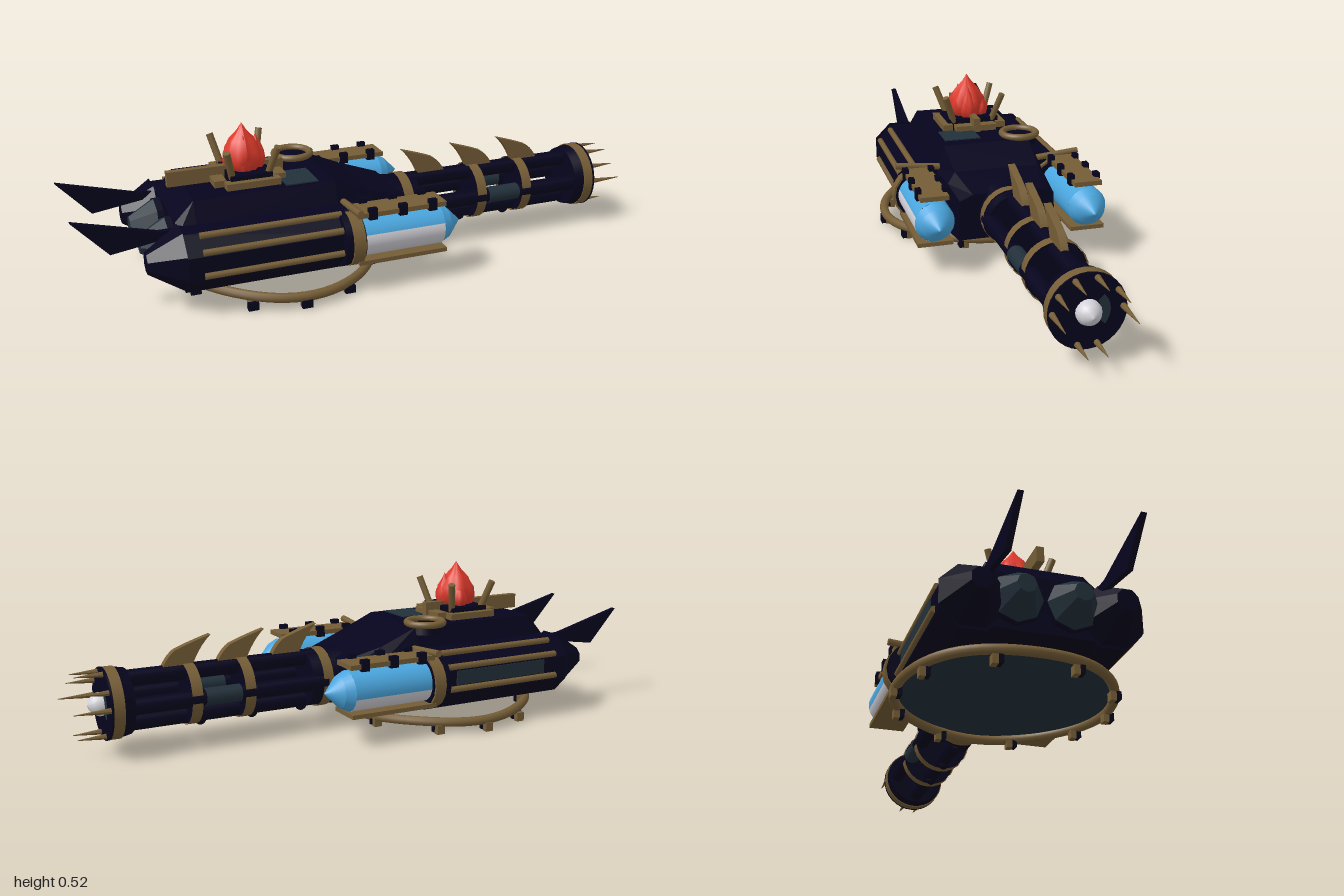
import * as THREE from 'three';

const mat = (name, color, side = THREE.DoubleSide) => Object.assign(new THREE.MeshStandardMaterial({ color, side }), { name });

export function createModel() {
  const model = new THREE.Group();
  model.name = 'gunSkimmer';
  const navy = mat('navy', 0x06041d), slate = mat('slate', 0x22303a, THREE.FrontSide), bronze = mat('bronze', 0x755d36);
  const blue = mat('blue', 0x4aa6de), pale = mat('pale', 0xd2d2d8), red = mat('red', 0xe03a2b);

  const add = (name, geo, m, x = 0, y = 0, z = 0) => {
    const mesh = new THREE.Mesh(geo, m);
    mesh.name = name;
    mesh.position.set(x, y, z);
    model.add(mesh);
    return mesh;
  };
  const box = (name, m, x0, x1, y0, y1, z0, z1) =>
    add(name, new THREE.BoxGeometry(x1 - x0, y1 - y0, z1 - z0), m, (x0 + x1) / 2, (y0 + y1) / 2, (z0 + z1) / 2);
  // cylinder or cone lying along x
  const cylX = (name, m, x0, x1, r0, r1, y, z, n = 24, open = false, start = 0, arc = Math.PI * 2) => {
    let g = new THREE.CylinderGeometry(r1, r0, x1 - x0, n, 1, open, start, arc).rotateZ(-Math.PI / 2);
    if (n <= 8) { g = g.toNonIndexed(); g.computeVertexNormals(); }
    return add(name, g, m, (x0 + x1) / 2, y, z);
  };
  // straight rod between two points
  const rod = (name, m, a, b, r, n = 8) => {
    const A = new THREE.Vector3(...a), B = new THREE.Vector3(...b), d = B.clone().sub(A);
    const mesh = add(name, new THREE.CylinderGeometry(r, r, d.length(), n), m);
    mesh.position.copy(A.add(B).multiplyScalar(0.5));
    mesh.quaternion.setFromUnitVectors(new THREE.Vector3(0, 1, 0), d.normalize());
    return mesh;
  };
  const plate = (name, m, shape, thick, x, y, z) =>
    add(name, new THREE.ExtrudeGeometry(shape, { depth: thick, bevelEnabled: false, curveSegments: 8 }).translate(0, 0, -thick / 2), m, x, y, z);
  // skin through cross-sections along x: [x, bottom, shoulder, top, halfBottom, halfShoulder, halfTop]
  const loft = (name, m, sections) => {
    const pos = [], rings = sections.map(([x, yb, ys, yt, b, s, t]) =>
      [[x, yb, b], [x, ys, s], [x, yt, t], [x, yt, -t], [x, ys, -s], [x, yb, -b]]);
    const tri = (...p) => p.forEach(q => pos.push(...q));
    for (let i = 0; i + 1 < rings.length; i++) for (let j = 0; j < 6; j++) {
      const k = (j + 1) % 6, A = rings[i], B = rings[i + 1];
      tri(A[j], B[j], B[k]);
      tri(A[j], B[k], A[k]);
    }
    const first = rings[0], last = rings[rings.length - 1];
    for (let j = 1; j < 5; j++) {
      tri(first[0], first[j], first[j + 1]);
      tri(last[0], last[j + 1], last[j]);
    }
    const g = new THREE.BufferGeometry();
    g.setAttribute('position', new THREE.Float32BufferAttribute(pos, 3));
    g.computeVertexNormals();
    return add(name, g, m);
  };

  // central hull
  loft('hull', navy, [
    [-0.68, 0.09, 0.24, 0.27, 0.19, 0.19, 0.15], [-0.62, 0.075, 0.25, 0.335, 0.2, 0.19, 0.155],
    [-0.15, 0.07, 0.25, 0.335, 0.2, 0.19, 0.155], [-0.02, 0.07, 0.24, 0.28, 0.18, 0.175, 0.15],
    [0.11, 0.08, 0.22, 0.24, 0.17, 0.165, 0.12]]);
  box('deckPanel', slate, -0.31, -0.2, 0.333, 0.339, 0.01, 0.14);

  for (const s of [1, -1]) {
    // side housings with tapered tails
    cylX('sideHousing', navy, -0.68, -0.13, 0.105, 0.105, 0.17, s * 0.21, 8).rotation.x = Math.PI / 8;
    cylX('housingTail', navy, -0.79, -0.68, 0.035, 0.105, 0.178, s * 0.215, 8).rotation.x = Math.PI / 8;
    cylX('exhaust', slate, -0.785, -0.7, 0.03, 0.08, 0.185, s * 0.085, 8);
    cylX('exhaustCowl', navy, -0.7, -0.64, 0.084, 0.084, 0.185, s * 0.085, 8);
    for (const [y, z] of [[0.222, 0.303], [0.147, 0.31], [0.262, 0.262]])
      rod('sideRail', bronze, [-0.63, y, s * z], [-0.17, y, s * z], 0.011);

    // energy tank
    cylX('tankCollar', bronze, -0.155, -0.115, 0.09, 0.09, 0.175, s * 0.258, 16);
    cylX('collarFace', navy, -0.115, -0.11, 0.083, 0.083, 0.175, s * 0.258, 16);
    cylX('collarBand', navy, -0.178, -0.155, 0.092, 0.092, 0.175, s * 0.25, 16);
    const [start, arc] = s > 0 ? [-0.35, 1.7] : [1.7, 1.2];
    cylX('tankWindow', pale, -0.12, 0.17, 0.067, 0.067, 0.18, s * 0.265, 12, true, start, arc);
    cylX('tank', blue, -0.12, 0.17, 0.067, 0.067, 0.18, s * 0.265, 24, true, start + arc, Math.PI * 2 - arc);
    cylX('tankShoulder', blue, 0.17, 0.2, 0.067, 0.053, 0.18, s * 0.265, 24);
    cylX('tankTip', blue, 0.2, 0.25, 0.053, 0.002, 0.18, s * 0.265, 24);

    // tank clamps, above and below
    box('upperClamp', bronze, -0.13, 0.18, 0.257, 0.273, s * 0.265 - 0.048, s * 0.265 + 0.048);
    for (const x of [-0.08, 0.025, 0.13]) for (const t of [-1, 1])
      box('clampClip', navy, x - 0.014, x + 0.014, 0.25, 0.288, s * 0.265 + t * 0.045 - 0.009, s * 0.265 + t * 0.045 + 0.009);
    rod('clampArm', bronze, [-0.13, 0.268, s * 0.18], [-0.13, 0.282, s * 0.335], 0.012);
    box('lowerClamp', bronze, -0.13, 0.18, 0.1, 0.114, s * 0.265 - 0.06, s * 0.265 + 0.06);

    // tail fin
    const fin = new THREE.Shape([[-1, 0.33], [-0.89, 0.21], [-0.65, 0.245], [-0.65, 0.262], [-0.74, 0.262]].map(p => new THREE.Vector2(...p)));
    plate('tailFin', navy, fin, 0.018, 0, 0, s * 0.177);
  }
  box('sidePanel', slate, -0.58, -0.22, 0.16, 0.208, -0.311, -0.303);

  // barrel cluster: four barrels above, below and at each side
  const by = 0.167;
  cylX('barrelMount', navy, 0.08, 0.2, 0.1, 0.09, by, 0);
  for (const [y, z] of [[1, 0], [-1, 0], [0, 1], [0, -1]]) {
    cylX('barrel', navy, 0.15, 0.85, 0.027, 0.027, by + y * 0.072, z * 0.076, 16);
    if (z) cylX('barrelSleeve', slate, 0.46, 0.58, 0.029, 0.029, by, z * 0.076, 16);
  }
  for (const x of [0.15, 0.43, 0.61]) {
    cylX('barrelBand', bronze, x - 0.018, x + 0.018, 0.101, 0.101, by, 0, 24, true);
    cylX('barrelDisc', navy, x - 0.01, x + 0.01, 0.098, 0.098, by, 0);
  }
  for (const x of [0.21, 0.39, 0.57])
    add('underBolt', new THREE.SphereGeometry(0.02, 10, 8), navy, x, 0.075, 0);

  // swept blades above the barrels
  const blade = new THREE.Shape();
  blade.moveTo(0, 0.1);
  blade.quadraticCurveTo(0.045, 0.06, 0.07, -0.01);
  blade.lineTo(0.17, -0.01);
  blade.quadraticCurveTo(0.155, 0.035, 0.12, 0.06);
  blade.quadraticCurveTo(0.07, 0.08, 0, 0.1);
  for (const x of [0.155, 0.345, 0.53]) plate('blade', bronze, blade, 0.024, x, 0.253, 0);

  // muzzle with spikes
  cylX('muzzle', navy, 0.81, 0.845, 0.105, 0.112, by, 0, 32);
  cylX('muzzleBand', bronze, 0.845, 0.88, 0.115, 0.115, by, 0, 32);
  cylX('muzzleFace', navy, 0.88, 0.887, 0.116, 0.116, by, 0, 32);
  add('facePatch', new THREE.RingGeometry(0.04, 0.066, 16, 1, -0.7, 1.5).rotateY(Math.PI / 2), slate, 0.889, by, 0);
  const tip = [[0.037, 0], [0.038, 0.02], [0.03, 0.038], [0.016, 0.05], [0, 0.057]].map(p => new THREE.Vector2(...p));
  add('muzzleTip', new THREE.LatheGeometry(tip, 20).rotateZ(-Math.PI / 2), pale, 0.878, by, 0);
  for (const a of [2, 33, 68, 104, 147, 178, 254, 286]) {
    const t = a * Math.PI / 180;
    cylX('muzzleSpike', bronze, 0.87, a === 2 || a === 178 ? 1 : 0.975, 0.011, 0.001, by + Math.sin(t) * 0.102, Math.cos(t) * 0.104, 8);
  }

  // skirt hoop and feet
  class Hoop extends THREE.Curve {
    getPoint(u, out = new THREE.Vector3()) {
      const a = u * Math.PI * 2, c = Math.cos(a), s = Math.sin(a);
      return out.set(-0.32 + 0.325 * c, 0.042 - 0.01 * c - 0.004 * Math.cos(4 * a), 0.345 * s);
    }
  }
  const hoop = new Hoop();
  add('skirtHoop', new THREE.TubeGeometry(hoop, 64, 0.016, 10, true), bronze);
  add('skirtFloor', new THREE.CircleGeometry(1, 48).rotateX(Math.PI / 2).scale(0.325, 1, 0.345), slate, -0.32, 0.045, 0);
  for (const a of [21, 60, 90, 120, 159]) for (const s of [1, -1]) {
    const p = hoop.getPoint((s * a / 360 + 1) % 1);
    box('foot', bronze, p.x - 0.014, p.x + 0.014, 0, 0.03, p.z - 0.017, p.z + 0.002);
    box('footClamp', navy, p.x - 0.017, p.x + 0.017, 0.004, 0.03, p.z + 0.002, p.z + 0.017);
  }

  // deck spine and hatch ring
  box('deckSpine', bronze, -0.67, -0.28, 0.335, 0.385, -0.012, 0.012);
  add('hatchRing', new THREE.TorusGeometry(0.062, 0.012, 10, 32).rotateX(Math.PI / 2), bronze, -0.2, 0.345, -0.135);
  add('hatch', new THREE.CylinderGeometry(0.055, 0.06, 0.03, 24), navy, -0.2, 0.325, -0.135);

  // brazier
  box('brazierBase', navy, -0.48, -0.34, 0.33, 0.372, -0.095, 0.095);
  for (const s of [1, -1]) {
    box('brazierFrame', bronze, -0.5, -0.32, 0.335, 0.357, s * 0.1 - 0.018, s * 0.1 + 0.018);
    box('brazierFrame', bronze, -0.41 + s * 0.1 - 0.02, -0.41 + s * 0.1 + 0.02, 0.335, 0.357, -0.075, 0.075);
    for (const t of [1, -1])
      rod('brazierPost', bronze, [-0.41 + t * 0.06, 0.36, s * 0.072], [-0.41 + t * 0.085, 0.46, s * 0.107], 0.012);
  }

  // flame: twisted, fluted body with side tongues
  const tongue = (h, r, x, y, z) => {
    const pts = [[0, 0], [0.8, 0], [1, 0.22], [0.96, 0.42], [0.65, 0.64], [0.25, 0.83], [0, 1]].map(([a, b]) => new THREE.Vector2(a * r, b * h));
    const g = new THREE.LatheGeometry(pts, 24), p = g.attributes.position;
    for (let i = 0; i < p.count; i++) {
      const a = Math.atan2(p.getZ(i), p.getX(i)), v = p.getY(i) / h, k = 1 + 0.1 * Math.cos(6 * a + v * 4);
      p.setXYZ(i, p.getX(i) * k, p.getY(i), p.getZ(i) * k);
    }
    g.computeVertexNormals();
    add('flame', g, red, x, y, z);
  };
  tongue(0.155, 0.063, -0.415, 0.368, 0.005);
  tongue(0.118, 0.03, -0.42, 0.37, 0.037);
  tongue(0.085, 0.028, -0.4, 0.37, -0.04);
  tongue(0.115, 0.03, -0.372, 0.37, 0.012);
  tongue(0.105, 0.028, -0.45, 0.37, -0.012);

  return model;
}
